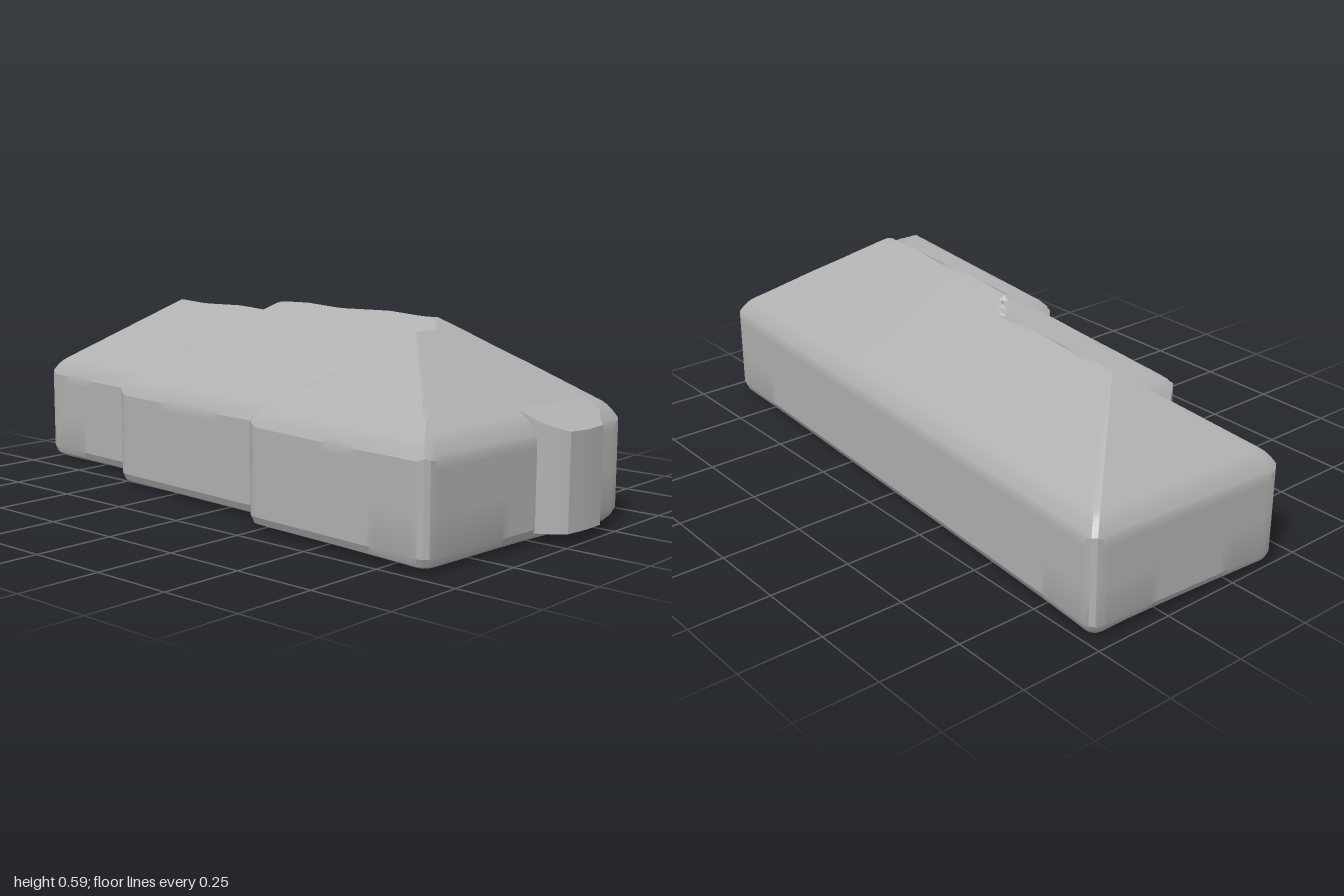
import * as THREE from 'three';
import { toCreasedNormals } from 'three/addons/utils/BufferGeometryUtils.js';

const BACK = -0.434, RIGHT = 0.914;
// three overlapping hipped wings: [left end, front edge]
const WINGS = [[-0.99, 0.225], [-0.487, 0.335], [0.235, 0.423]];

// Roof height: highest of the three hips, softened at the eaves
function roofHeight(u, v) {
  let d = 0;
  for (const [left, front] of WINGS) {
    d = Math.max(d, Math.min(u - left, RIGHT - u, v - BACK, front - v));
  }
  return 0.325 + 0.71 * d - 0.03 * Math.max(0, 1 - d / 0.04) ** 2;
}

// Stepped floor plan with rounded corners
function planOutline(radius) {
  const corners = [[-0.99, 0.222], [-0.525, 0.228], [-0.45, 0.333], [0.212, 0.336],
    [0.25, 0.42], [RIGHT, 0.425], [RIGHT, BACK], [-0.99, BACK]]
    .map(([u, v]) => new THREE.Vector2(u, v));
  const toward = (a, b) => a.clone().add(b.clone().sub(a).setLength(radius));
  const shape = new THREE.Shape();
  corners.forEach((c, i) => {
    const before = toward(c, corners[(i + 7) % 8]);
    const after = toward(c, corners[(i + 1) % 8]);
    if (i === 0) shape.moveTo(before.x, before.y);
    else shape.lineTo(before.x, before.y);
    shape.quadraticCurveTo(c.x, c.y, after.x, after.y);
  });
  shape.closePath();
  return shape.getSpacedPoints(300).slice(0, 300);
}

// Point under the ridge that an outline point is drawn towards
function spinePoint(p) {
  const u = THREE.MathUtils.clamp(p.x, -0.66, 0.53);
  return new THREE.Vector2(u, THREE.MathUtils.mapLinear(u, -0.66, 0.53, -0.105, -0.04));
}

function houseGeometry() {
  const outline = planOutline(0.035);
  const n = outline.length;
  const floor = (u, v) => 0.008 + 0.012 * v;
  // rings from the middle of the floor, up the walls, to the ridge
  const rings = [{ t: 1, y: floor }, { t: 0.5, y: floor }, { inset: 0.035, y: floor },
    { inset: 0.012, y: () => 0.022 }, { inset: 0, y: () => 0.045 },
    { inset: 0, y: () => 0.16 }, { inset: 0, y: () => 0.27 }];
  const steps = 28;
  for (let i = 0; i <= steps; i++) rings.push({ t: (i / steps) ** 1.3, y: roofHeight });

  const position = [], index = [];
  rings.forEach((ring, r) => {
    outline.forEach((p, i) => {
      const s = spinePoint(p);
      const q = p.clone().lerp(s, ring.t ?? ring.inset / p.distanceTo(s));
      position.push(q.x, ring.y(q.x, q.y), q.y);
      if (r === 0) return;
      const a = (r - 1) * n + i, b = (r - 1) * n + (i + 1) % n;
      index.push(a, b, b + n, a, b + n, a + n);
    });
  });
  const geometry = new THREE.BufferGeometry();
  geometry.setAttribute('position', new THREE.Float32BufferAttribute(position, 3));
  geometry.setIndex(index);
  return toCreasedNormals(geometry, 0.45);
}

// Bay on the end wall, its top sloping down and outwards
function bayGeometry() {
  const plan = [[0.85, -0.33], [0.92, -0.31], [0.955, -0.26], [0.983, -0.235], [0.988, -0.16],
    [0.983, -0.085], [0.955, -0.055], [0.92, -0.03], [0.85, -0.02]];
  // plan is drawn with -v so the extrusion can be stood upright
  const shape = new THREE.Shape(plan.map(([u, v]) => new THREE.Vector2(u, -v)).reverse());
  const geometry = new THREE.ExtrudeGeometry(shape, { depth: 0.28, bevelEnabled: false });
  geometry.rotateX(-Math.PI / 2).translate(0, 0.035, 0);
  const pos = geometry.attributes.position;
  for (let i = 0; i < pos.count; i++) {
    if (pos.getY(i) > 0.2) pos.setY(i, pos.getY(i) + (0.988 - pos.getX(i)) * 0.4);
  }
  return toCreasedNormals(geometry, 0.6);
}

export function createModel() {
  const grey = new THREE.MeshStandardMaterial({ color: 0xb0b0b0 });
  grey.name = 'plain grey';

  const house = new THREE.Mesh(houseGeometry(), grey);
  house.name = 'steppedHouse';
  const bay = new THREE.Mesh(bayGeometry(), grey);
  bay.name = 'endBay';

  // the plan sits slightly turned
  const building = new THREE.Group();
  building.name = 'building';
  building.rotation.y = -0.0585;
  building.add(house, bay);

  const model = new THREE.Group();
  model.name = 'hippedRoofHouse';
  model.add(building);
  return model;
}
